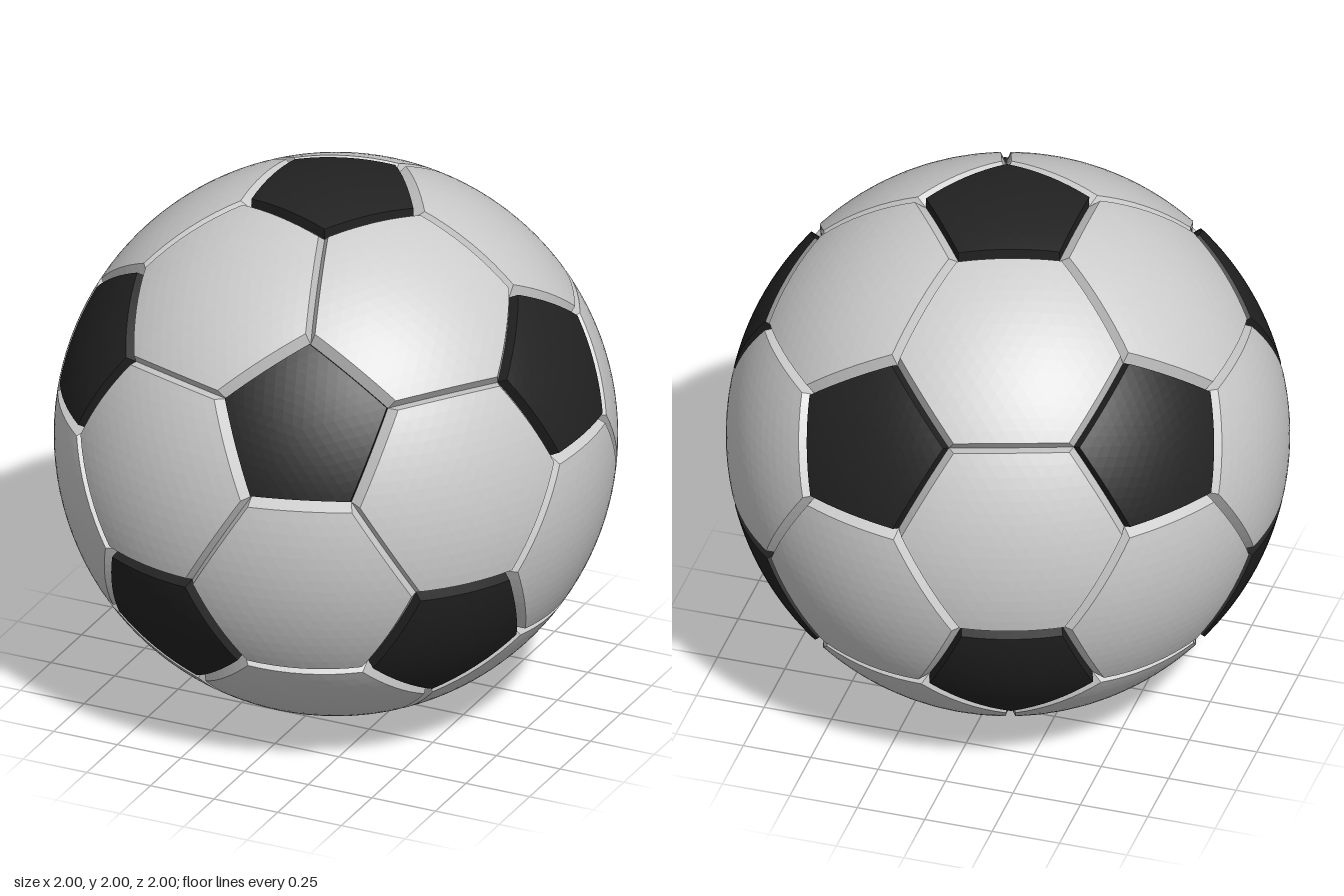
import * as THREE from 'three';

const STEPS = 8;        // subdivisions per panel sector
const GROOVE_R = 0.96;  // radius at the bottom of the seams

// The 12 pentagon centres: two poles and two staggered rings of five.
function pentagonCentres() {
  const out = [new THREE.Vector3(0, 1, 0), new THREE.Vector3(0, -1, 0)];
  const y = 1 / Math.sqrt(5), r = 2 * y;
  for (let k = 0; k < 10; k++) {
    const a = (k * Math.PI) / 5;
    out.push(new THREE.Vector3(r * Math.cos(a), k % 2 ? -y : y, r * Math.sin(a)));
  }
  return out;
}

// Spherical polygon whose edge i is moved inward by insets[i].
function insetPolygon(corners, centre, insets) {
  const n = corners.length;
  const normals = corners.map((c, i) => c.clone().cross(corners[(i + 1) % n]).normalize());
  return corners.map((_, i) => {
    const h = (i + n - 1) % n, n1 = normals[h], n2 = normals[i];
    const s1 = insets[h], s2 = insets[i], d = n1.dot(n2), k = 1 - d * d;
    const p = n1.clone().multiplyScalar((s1 - d * s2) / k).addScaledVector(n2, (s2 - d * s1) / k);
    const m = n1.clone().cross(n2).normalize();
    if (m.dot(centre) < 0) m.negate();
    return p.addScaledVector(m, Math.sqrt(1 - p.lengthSq()));
  });
}

// Domed panel with a sloping rim down to the seam.
function panelGeometry(corners, topInsets, baseInsets) {
  const centre = corners.reduce((s, c) => s.add(c), new THREE.Vector3()).normalize();
  const top = insetPolygon(corners, centre, topInsets);
  const base = insetPolygon(corners, centre, baseInsets);
  const pos = [];
  const tri = (...pts) => pts.forEach((p) => pos.push(p.x, p.y, p.z));
  const onArc = (a, b, t, r) => a.clone().lerp(b, t).normalize().multiplyScalar(r);

  top.forEach((a, s) => {
    const next = (s + 1) % top.length, b = top[next];
    const at = (i, j) => centre.clone().multiplyScalar(1 - i / STEPS)
      .addScaledVector(a, (i - j) / STEPS).addScaledVector(b, j / STEPS).normalize();
    for (let i = 0; i < STEPS; i++) {
      for (let j = 0; j <= i; j++) {
        tri(at(i, j), at(i + 1, j), at(i + 1, j + 1));
        if (j < i) tri(at(i, j), at(i + 1, j + 1), at(i, j + 1));
      }
    }
    for (let j = 0; j < STEPS; j++) {
      const t0 = j / STEPS, t1 = (j + 1) / STEPS;
      const u0 = onArc(a, b, t0, 1), u1 = onArc(a, b, t1, 1);
      const l0 = onArc(base[s], base[next], t0, GROOVE_R);
      const l1 = onArc(base[s], base[next], t1, GROOVE_R);
      tri(u0, l0, l1);
      tri(u0, l1, u1);
    }
  });
  const g = new THREE.BufferGeometry();
  g.setAttribute('position', new THREE.Float32BufferAttribute(pos, 3));
  g.computeVertexNormals();
  return g;
}

export function createModel() {
  const ball = new THREE.Group();
  ball.name = 'ball';
  const black = new THREE.MeshStandardMaterial({ color: 0x222222, flatShading: true });
  const grey = new THREE.MeshStandardMaterial({ color: 0xcccccc, flatShading: true });
  const add = (name, geometry, material) => {
    const mesh = new THREE.Mesh(geometry, material);
    mesh.name = name;
    mesh.position.y = 1;
    ball.add(mesh);
  };

  const centres = pentagonCentres();
  const third = (a, b) => a.clone().multiplyScalar(2).add(b).normalize();

  centres.forEach((v, vi) => {
    // Five neighbours, counter-clockwise seen from outside
    const ring = centres.map((_, i) => i).filter((i) => i !== vi && centres[i].dot(v) > 0.4);
    const u = centres[ring[0]].clone().addScaledVector(v, -centres[ring[0]].dot(v)).normalize();
    const w = v.clone().cross(u);
    const angle = (i) => Math.atan2(centres[i].dot(w), centres[i].dot(u));
    ring.sort((a, b) => angle(a) - angle(b));

    // Dark pentagon
    add('pentagonPanel', panelGeometry(ring.map((i) => third(v, centres[i])),
      Array(5).fill(0.034), Array(5).fill(0.024)), black);

    // Light hexagons, each made once from its lowest-numbered neighbour
    ring.forEach((bi, k) => {
      const ci = ring[(k + 1) % 5];
      if (vi > bi || vi > ci) return;
      const b = centres[bi], c = centres[ci];
      const corners = [third(v, b), third(b, v), third(b, c), third(c, b), third(c, v), third(v, c)];
      add('hexagonPanel', panelGeometry(corners,
        [0.017, 0.007, 0.017, 0.007, 0.017, 0.007], [0, -0.024, 0, -0.024, 0, -0.024]), grey);
    });
  });
  return ball;
}
